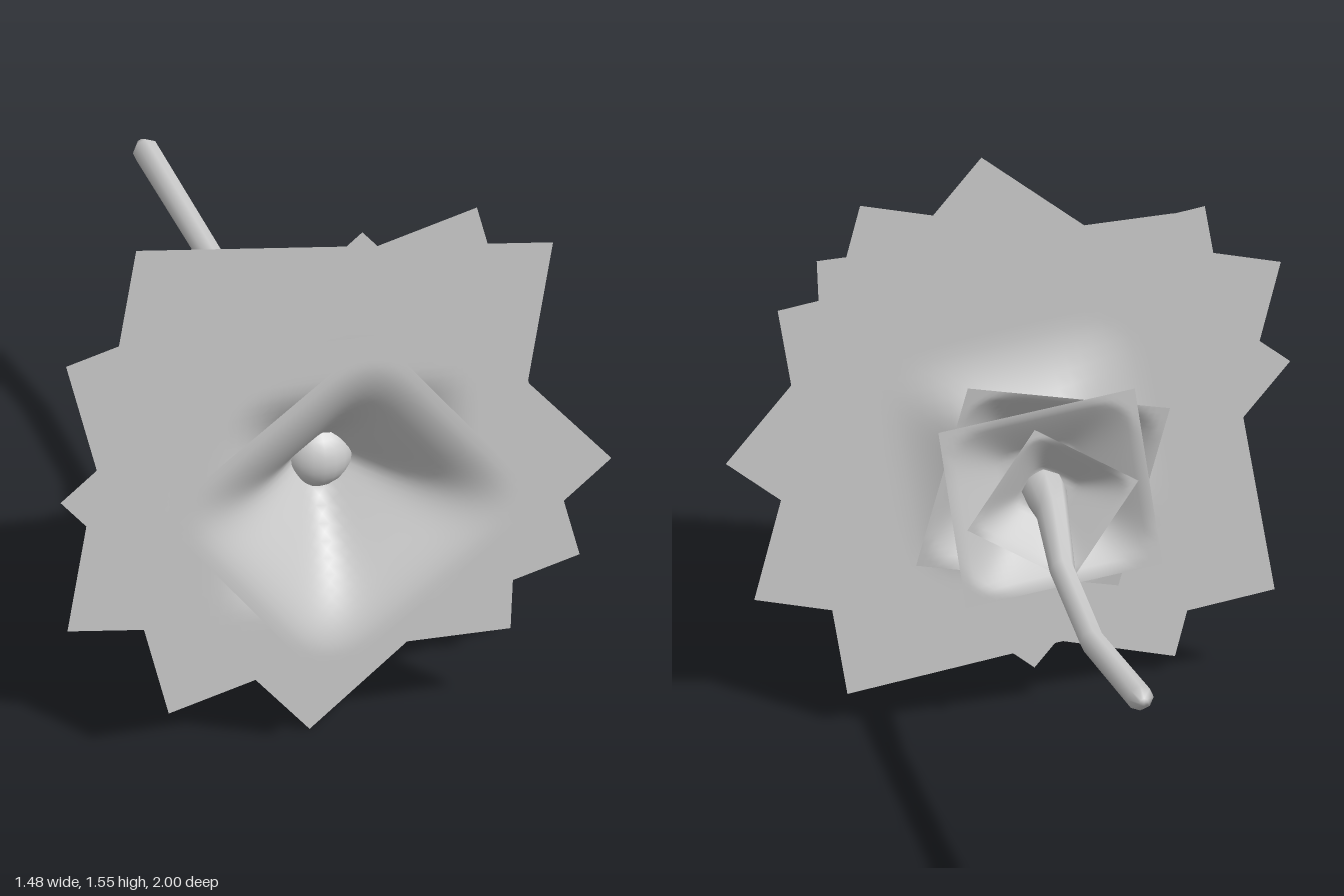
import * as THREE from 'three';

const petalGrey = new THREE.MeshStandardMaterial({ color: 0xcccccc, side: THREE.DoubleSide });
petalGrey.name = 'petal grey';

const YAW = -0.305; // the bloom faces slightly to one side

// Square sheet whose middle is drawn in (depth > 0 backwards, < 0 forwards)
// between the half widths width and floor. radius is half the diagonal, angle
// the direction of one corner in degrees, pitch tips the upper edge forward.
function cuppedSheet(name, { at, radius, angle, pitch, width, floor, depth, power }) {
  const side = radius * Math.SQRT2;
  const geometry = new THREE.PlaneGeometry(side, side, 32, 32);
  const p = geometry.attributes.position;
  for (let i = 0; i < p.count; i++) {
    const x = Math.abs(p.getX(i)), y = Math.abs(p.getY(i));
    const h = Math.pow(x ** 5 + y ** 5, 1 / 5); // rounded square distance
    const t = THREE.MathUtils.clamp((width - h) / (width - floor), 0, 1);
    p.setZ(i, -depth * Math.pow(t, power));
  }
  geometry.rotateZ(THREE.MathUtils.degToRad(angle - 45));
  geometry.rotateX(pitch);
  geometry.rotateY(YAW);
  geometry.computeVertexNormals();
  const mesh = new THREE.Mesh(geometry, petalGrey);
  mesh.name = name;
  mesh.position.set(...at);
  return mesh;
}

// Tube of few sides through rings of [x, y, z, radius], closed by a blunt tip.
function createStem() {
  const sides = 8;
  const rings = [
    [0.10, 0.79, 0.40, 0.06], [0.15, 0.79, 0.22, 0.06], [0.19, 0.79, 0.11, 0.045],
    [0.30, 0.755, -0.14, 0.035], [0.422, 0.745, -0.52, 0.035],
    [0.527, 0.805, -0.965, 0.037], [0.535, 0.81, -1.0, 0.012], [0.535, 0.81, -1.0, 0],
  ];
  const positions = [], index = [];
  const xAxis = new THREE.Vector3(0.96, 0, 0.28);
  rings.forEach(([x, y, z, r], j) => {
    for (let i = 0; i < sides; i++) {
      const a = (i / sides) * Math.PI * 2;
      positions.push(x + xAxis.x * r * Math.cos(a), y + r * Math.sin(a), z + xAxis.z * r * Math.cos(a));
      if (j === 0) continue;
      const k = (i + 1) % sides, b = (j - 1) * sides, c = j * sides;
      index.push(b + i, c + i, b + k, b + k, c + i, c + k);
    }
  });
  const geometry = new THREE.BufferGeometry();
  geometry.setAttribute('position', new THREE.Float32BufferAttribute(positions, 3));
  geometry.setIndex(index);
  geometry.computeVertexNormals();
  const stem = new THREE.Mesh(geometry, petalGrey);
  stem.name = 'stem';
  return stem;
}

// Ball, squashed along the axis of the bloom
function createBall(name, at, radius, squash) {
  const ball = new THREE.Mesh(new THREE.SphereGeometry(radius, 20, 14), petalGrey);
  ball.name = name;
  ball.position.set(...at);
  ball.rotation.y = YAW;
  ball.scale.z = squash;
  return ball;
}

export function createModel() {
  const flower = new THREE.Group();
  flower.name = 'flower';

  // Petal layers, front to back
  const petals = new THREE.Group();
  petals.name = 'petals';
  [
    { at: [-0.05, 0.78, 0.832], radius: 0.545, angle: -7.4, width: 0.37, floor: 0, depth: 0.39 },
    { at: [-0.025, 0.78, 0.758], radius: 0.695, angle: 42.8, width: 0.36, floor: 0, depth: 0.34 },
    { at: [0, 0.78, 0.687], radius: 0.778, angle: -5.2, width: 0.36, floor: 0, depth: 0.29 },
    { at: [0.03, 0.78, 0.582], radius: 0.842, angle: -30.7, width: 0.35, floor: 0.04, depth: 0.2 },
    { at: [0.068, 0.784, 0.468], radius: 0.84, angle: 35.9, width: 0.35, floor: 0.1, depth: 0.11 },
  ].forEach((layer, i) => petals.add(cuppedSheet(`petalLayer${i + 1}`, { ...layer, pitch: 0.015, power: 1.8 })));
  flower.add(petals);

  // Small bowl-shaped sepals, cupped the other way around the stem
  const sepals = new THREE.Group();
  sepals.name = 'sepals';
  [
    { at: [0.125, 0.775, 0.275], radius: 0.405, angle: -32, pitch: -0.11, width: 0.28, floor: 0.13, depth: -0.11 },
    { at: [0.145, 0.78, 0.2], radius: 0.385, angle: 37, pitch: 0, width: 0.26, floor: 0.1, depth: -0.1 },
    { at: [0.16, 0.78, 0.16], radius: 0.24, angle: -12, pitch: 0, width: 0.17, floor: 0.06, depth: -0.08 },
  ].forEach((layer, i) => sepals.add(cuppedSheet(`sepalLayer${i + 1}`, { ...layer, power: 1.1 })));
  flower.add(sepals);

  // Bud in the throat of the bloom, and the swelling behind it
  flower.add(createBall('bud', [0.045, 0.785, 0.52], 0.105, 1));
  flower.add(createBall('receptacle', [0.1, 0.795, 0.41], 0.155, 0.4));

  flower.add(createStem());
  return flower;
}
